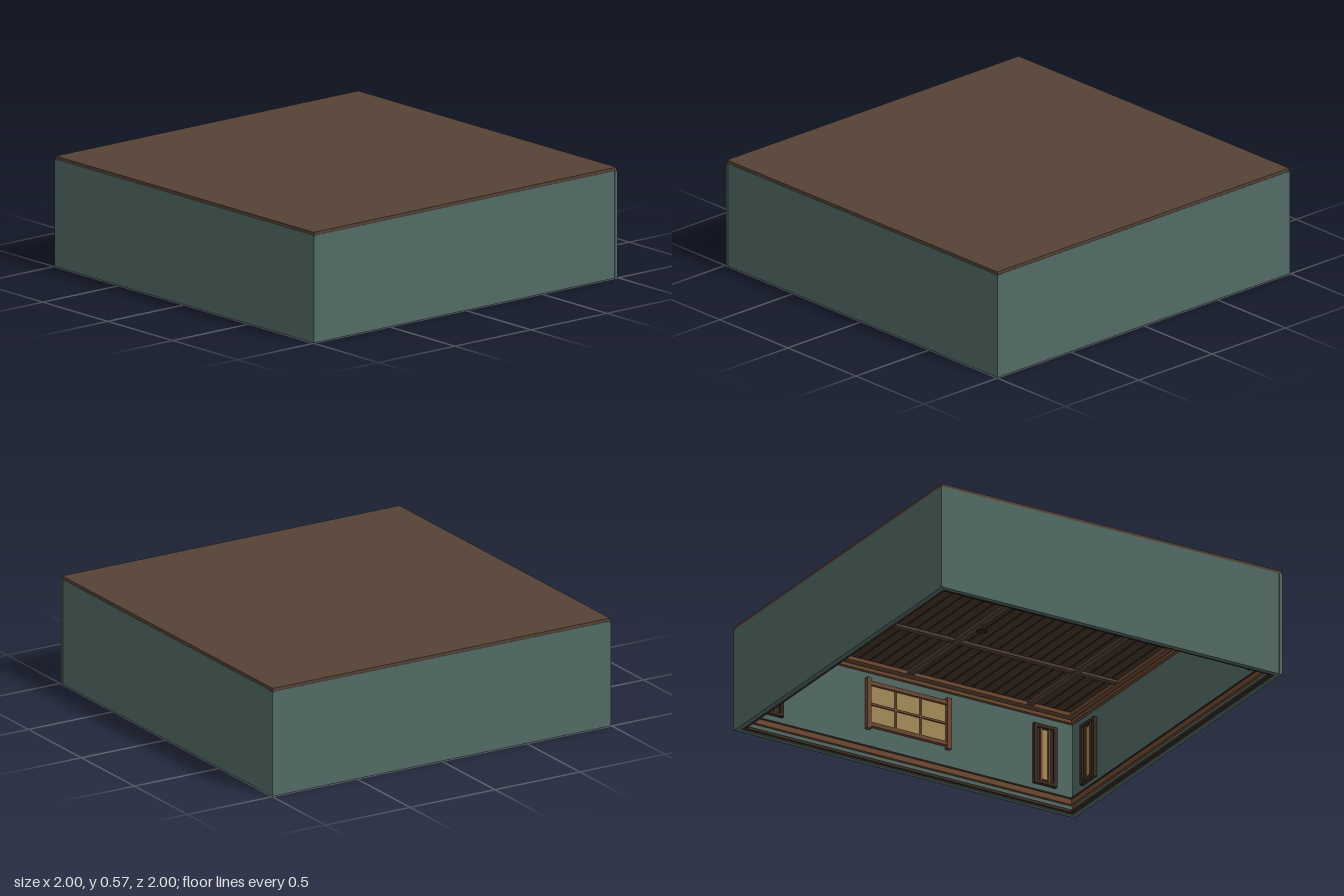
import * as THREE from 'three';

const mat = (name, color) => {
  const m = new THREE.MeshStandardMaterial({ color });
  m.name = name;
  return m;
};

export function createModel() {
  const wallTeal = mat('wall teal', 0x536b65);
  const roofBrown = mat('roof brown', 0x554236);
  const plankBrown = mat('plank brown', 0x483629);
  const trimBrown = mat('trim brown', 0x6e4a33);
  const darkWood = mat('dark wood', 0x3a2c24);
  const glassGold = mat('window gold', 0xa48c58);
  const iron = mat('iron', 0x36332f);

  const room = new THREE.Group();
  room.name = 'room';

  const box = (parent, name, material, w, h, d, x, y, z) => {
    const mesh = new THREE.Mesh(new THREE.BoxGeometry(w, h, d), material);
    mesh.name = name;
    mesh.position.set(x, y, z);
    parent.add(mesh);
    return mesh;
  };

  // Roof slab
  box(room, 'roof', roofBrown, 1.988, 0.016, 1.988, 0, 0.563, 0);

  // Tall narrow slatted panel, built facing local +z on an inner wall
  const addNarrowPanel = (wall, x) => {
    const panel = new THREE.Group();
    panel.name = 'narrowPanel';
    panel.position.set(x, 0.285, 0.018);
    box(panel, 'panelBack', darkWood, 0.12, 0.31, 0.008, 0, 0, 0);
    box(panel, 'panelGlow', glassGold, 0.03, 0.27, 0.006, 0, 0, 0.005);
    for (const s of [-1, 1]) {
      box(panel, 'panelStile', darkWood, 0.018, 0.33, 0.02, s * 0.058, 0, 0.006);
      box(panel, 'panelSlat', trimBrown, 0.012, 0.29, 0.014, s * 0.024, 0, 0.005);
      box(panel, 'panelRail', darkWood, 0.13, 0.018, 0.02, 0, s * 0.155, 0.006);
    }
    wall.add(panel);
  };

  // Wide window with three by two panes
  const addWindow = (wall) => {
    const win = new THREE.Group();
    win.name = 'window';
    win.position.set(0, 0.32, 0.018);
    box(win, 'windowGlass', glassGold, 0.44, 0.22, 0.006, 0, 0, 0);
    for (const s of [-1, 1]) {
      box(win, 'windowJamb', trimBrown, 0.025, 0.28, 0.024, s * 0.235, 0, 0.008);
      box(win, 'windowRail', trimBrown, 0.46, 0.022, 0.02, 0, s * 0.113, 0.006);
      box(win, 'windowMullion', trimBrown, 0.012, 0.22, 0.014, s * 0.073, 0, 0.004);
    }
    box(win, 'windowCrossbar', trimBrown, 0.44, 0.012, 0.014, 0, 0, 0.004);
    wall.add(win);
  };

  // Four walls; local +z points into the room
  ['backWall', 'rightWall', 'frontWall', 'leftWall'].forEach((name, i) => {
    const wall = new THREE.Group();
    const angle = i * Math.PI / 2;
    wall.name = name;
    wall.rotation.y = angle;
    wall.position.set(-Math.sin(angle) * 0.982, 0, -Math.cos(angle) * 0.982);
    box(wall, 'wallPanel', wallTeal, 1.972, 0.555, 0.028, 0, 0.2775, 0);
    box(wall, 'baseboard', darkWood, 1.94, 0.016, 0.016, 0, 0.012, 0.022);
    box(wall, 'wallRail', trimBrown, 1.94, 0.03, 0.016, 0, 0.062, 0.022);
    box(wall, 'wallRailCap', darkWood, 1.94, 0.008, 0.02, 0, 0.08, 0.024);
    // Stepped crown moulding
    box(wall, 'crownLower', trimBrown, 1.94, 0.018, 0.018, 0, 0.503, 0.023);
    box(wall, 'crownUpper', trimBrown, 1.94, 0.02, 0.034, 0, 0.534, 0.031);
    for (const s of [-1, 1]) addNarrowPanel(wall, s * 0.8);
    if (i % 2) addWindow(wall);
    room.add(wall);
  });

  // Slim corner posts
  for (const x of [-1, 1]) for (const z of [-1, 1]) {
    box(room, 'cornerPost', wallTeal, 0.018, 0.553, 0.018, x * 0.989, 0.2765, z * 0.989);
  }

  // Plank ceiling over a dark backing
  box(room, 'ceilingBacking', darkWood, 1.93, 0.004, 1.93, 0, 0.552, 0);
  const planks = 32, pitch = 1.92 / planks;
  for (let i = 0; i < planks; i++) {
    box(room, 'ceilingPlank', plankBrown, 1.92, 0.006, pitch * 0.86, 0, 0.547, -0.96 + (i + 0.5) * pitch);
  }

  // Crossing ceiling beams
  for (const z of [-0.7, 0, 0.7]) {
    box(room, 'longBeam', roofBrown, 1.93, 0.022, 0.034, 0, 0.538, z);
  }
  for (const x of [-0.5, 0, 0.5]) {
    box(room, 'crossBeam', roofBrown, 0.03, 0.018, 1.93, x, 0.539, 0);
  }

  // Small hanging lamps under the middle beam
  for (const x of [-0.25, 0.25]) {
    const lamp = new THREE.Group();
    lamp.name = 'ceilingLamp';
    lamp.position.set(x, 0, 0);
    const stem = new THREE.Mesh(new THREE.CylinderGeometry(0.006, 0.006, 0.04, 8), iron);
    stem.name = 'lampStem';
    stem.position.y = 0.51;
    const ring = new THREE.Mesh(new THREE.TorusGeometry(0.026, 0.004, 6, 16), iron);
    ring.name = 'lampRing';
    ring.rotation.x = Math.PI / 2;
    ring.position.y = 0.492;
    lamp.add(stem, ring);
    box(lamp, 'lampArm', iron, 0.052, 0.005, 0.006, 0, 0.492, 0);
    box(lamp, 'lampArm', iron, 0.006, 0.005, 0.052, 0, 0.492, 0);
    room.add(lamp);
  }

  return room;
}
